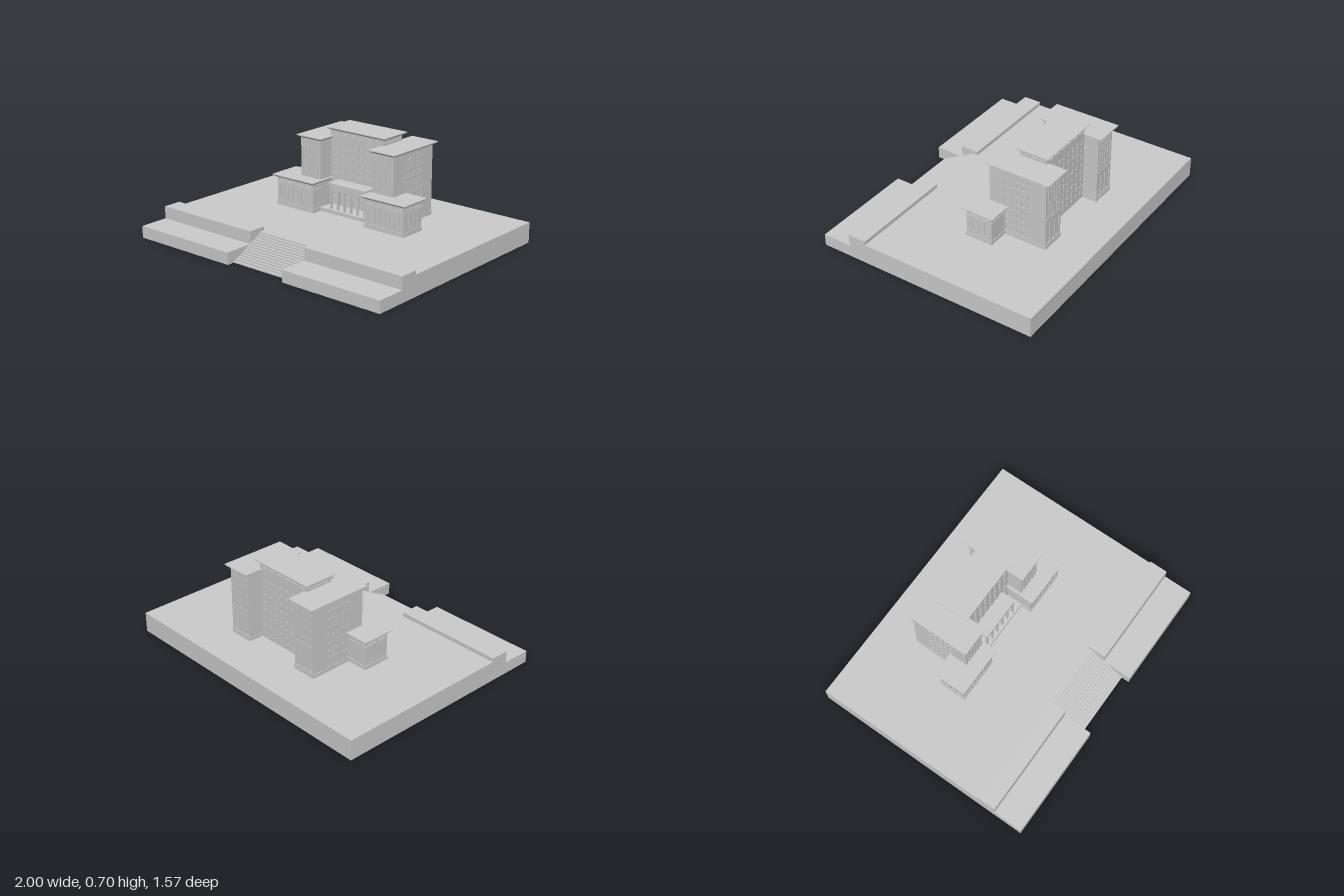
import * as THREE from 'three';

const material = new THREE.MeshStandardMaterial({ color: 0xcccccc });
const MID = 0.02;      // x of the building's axis of symmetry
const GROUND = 0.14;   // terrace level
const FLOOR = 0.165;   // top of the plinth
const RECESS = 0.006;  // depth of window openings

function add(parent, name, geometry) {
  const mesh = new THREE.Mesh(geometry, material);
  mesh.name = name;
  parent.add(mesh);
  return mesh;
}

// Box given by its limits on each axis
function box(parent, name, x0, x1, y0, y1, z0, z1) {
  const g = new THREE.BoxGeometry(x1 - x0, y1 - y0, z1 - z0);
  g.translate((x0 + x1) / 2, (y0 + y1) / 2, (z0 + z1) / 2);
  return add(parent, name, g);
}

// Profile of [z, y] points swept from x0 to x1
function sweep(parent, name, points, x0, x1) {
  const shape = new THREE.Shape(points.map(([z, y]) => new THREE.Vector2(z, y)));
  const g = new THREE.ExtrudeGeometry(shape, { depth: x1 - x0, bevelEnabled: false });
  g.rotateY(-Math.PI / 2).translate(x1, 0, 0);
  return add(parent, name, g);
}

// Flared roof slab: a sloping cornice under a thin flat edge
function roof(parent, name, x0, x1, y0, y1, z0, z1, flare = 0.02) {
  const group = new THREE.Group();
  group.name = name;
  parent.add(group);
  const edge = y1 - 0.006;
  const w = x1 - x0, d = z1 - z0, h = edge - y0;
  const g = new THREE.BoxGeometry(w, h, d);
  const p = g.attributes.position;
  for (let i = 0; i < p.count; i++) {
    if (p.getY(i) < 0) {
      p.setX(i, p.getX(i) - Math.sign(p.getX(i)) * flare);
      p.setZ(i, p.getZ(i) - Math.sign(p.getZ(i)) * flare);
    }
  }
  const flat = g.toNonIndexed();
  flat.computeVertexNormals();
  flat.translate((x0 + x1) / 2, y0 + h / 2, (z0 + z1) / 2);
  add(group, 'cornice', flat);
  box(group, 'roofSlab', x0, x1, edge, y1, z0, z1);
}

// Regular grid of openings [x, y, width, height], centred on x = 0
function openings(cols, pitch, y, w, h, rows = 1, rise = 0) {
  const list = [];
  for (let r = 0; r < rows; r++) {
    for (let c = 0; c < cols; c++) list.push([(c - (cols - 1) / 2) * pitch, y + r * rise, w, h]);
  }
  return list;
}

// Wall panel pierced by openings, facing +z
function wallGeometry(width, y0, y1, holes) {
  const rect = (P, x, y, w, h) => {
    const p = new P();
    p.moveTo(x - w / 2, y - h / 2).lineTo(x + w / 2, y - h / 2);
    p.lineTo(x + w / 2, y + h / 2).lineTo(x - w / 2, y + h / 2);
    p.closePath();
    return p;
  };
  const shape = rect(THREE.Shape, 0, (y0 + y1) / 2, width, y1 - y0);
  shape.holes = holes.map((o) => rect(THREE.Path, ...o));
  return new THREE.ExtrudeGeometry(shape, { depth: RECESS, bevelEnabled: false });
}

// Building volume: a core wrapped in four pierced walls
function block(parent, name, x0, x1, y0, y1, z0, z1, holes) {
  const group = new THREE.Group();
  group.name = name;
  parent.add(group);
  const cx = (x0 + x1) / 2, cz = (z0 + z1) / 2, w = x1 - x0, d = z1 - z0, t = RECESS;
  box(group, 'core', x0 + t, x1 - t, y0, y1, z0 + t, z1 - t);
  [['front', 0], ['left', 1], ['back', 2], ['right', 3]].forEach(([side, turn]) => {
    const across = turn % 2 === 1;
    const wall = add(group, side + 'Wall',
      wallGeometry(across ? d - 2 * t : w, y0, y1, holes[side] || []));
    const a = turn * Math.PI / 2, out = (across ? w : d) / 2 - t;
    wall.rotation.y = a;
    wall.position.set(cx + Math.sin(a) * out, 0, cz + Math.cos(a) * out);
  });
  return group;
}

// Box limits mirrored about the building's axis
const span = (s, near, far) => (s > 0 ? [MID + near, MID + far] : [MID - far, MID - near]);

function buildTerrace(parent) {
  box(parent, 'terrace', -1, 1, 0, GROUND, -0.785, 0.45);
  const bank = [[0.45, 0], [0.785, 0], [0.785, 0.082], [0.58, 0.082], [0.58, 0.167], [0.45, 0.167]];
  sweep(parent, 'leftBank', bank, 0.25, 1);
  sweep(parent, 'rightBank', bank, -1, -0.21);

  // Thin folded flight of steps, open underneath
  const steps = 14, top = [[0.45, GROUND]];
  const run = (0.75 - 0.49) / steps, rise = GROUND / steps;
  for (let i = 0; i < steps; i++) {
    const z = 0.49 + i * run, y = GROUND - i * rise;
    top.push([z, y], [z, y - rise]);
  }
  top[top.length - 1][1] = 0;
  const under = top.slice(0, -1).reverse().map(([z, y]) => [z - 0.004, Math.max(0.0005, y - 0.012)]);
  under[under.length - 1][0] = 0.45;
  sweep(parent, 'steps', [...top, ...under].reverse(), -0.21, 0.25);
}

function buildCentre(parent) {
  const windows = openings(8, 0.053, 0.194, 0.02, 0.034, 8, 0.056);
  block(parent, 'centralBlock', MID - 0.22, MID + 0.22, GROUND, 0.64, -0.4, -0.2,
    { front: windows, back: windows });
  const strip = openings(6, 0.07, 0.662, 0.052, 0.014);
  const ends = openings(3, 0.058, 0.662, 0.044, 0.014);
  block(parent, 'clerestory', MID - 0.22, MID + 0.22, 0.64, 0.68, -0.4, -0.2,
    { front: strip, back: strip, left: ends, right: ends });
  roof(parent, 'centralRoof', MID - 0.244, MID + 0.244, 0.677, 0.697, -0.422, -0.183);
}

function buildTower(parent, s) {
  const outer = s > 0 ? 'left' : 'right';
  const [x0, x1] = span(s, 0.22, 0.39);
  const slots = openings(5, 0.031, 0.482, 0.016, 0.25);
  const group = block(parent, outer + 'Tower', x0, x1, GROUND, 0.625, -0.505, -0.09, {
    front: slots,
    back: [...slots, ...openings(3, 0.05, 0.25, 0.034, 0.15)],
    [outer]: openings(5, 0.04, 0.194, 0.018, 0.034, 8, 0.056),
  });
  // Spandrels dividing the tall slots into storeys
  for (let r = 0; r < 4; r++) {
    const y = 0.39 + r * 0.056;
    box(group, 'spandrel', x0 + 0.01, x1 - 0.01, y, y + 0.02, -0.502, -0.093);
  }
  box(group, 'towerPlinth', x0 - 0.003, x1 + 0.003, GROUND, FLOOR, -0.508, -0.09);
  const [r0, r1] = span(s, 0.2, 0.413);
  roof(group, 'towerRoof', r0, r1, 0.62, 0.64, -0.535, -0.07);
}

function buildWing(parent, s) {
  const outer = s > 0 ? 'left' : 'right';
  const [x0, x1] = span(s, 0.22, 0.535);
  const shift = s * 0.035;
  const front = openings(6, 0.038, 0.235, 0.014, 0.11).map(([x, ...rest]) => [x + shift, ...rest]);
  front.push(...openings(4, 0.076, 0.32, 0.056, 0.016));
  const end = [...openings(3, 0.045, 0.235, 0.016, 0.11), ...openings(2, 0.085, 0.32, 0.06, 0.016)];
  const group = block(parent, outer + 'Wing', x0, x1, GROUND, 0.342, -0.2, -0.012,
    { front, [outer]: end });
  // String course above the tall windows
  box(group, 'stringCourse', x0 - 0.004, x1 + 0.004, 0.298, 0.304, -0.204, -0.008);
  box(group, 'wingPlinth', x0 - 0.004, x1 + 0.004, GROUND, FLOOR, -0.204, -0.008);
  const [r0, r1] = span(s, 0.2, 0.56);
  roof(group, 'wingRoof', r0, r1, 0.335, 0.355, -0.225, 0.012);
}

function buildPorch(parent) {
  const porch = new THREE.Group();
  porch.name = 'porch';
  parent.add(porch);
  box(porch, 'porchFloor', MID - 0.22, MID + 0.22, GROUND, FLOOR, -0.2, -0.085);
  box(porch, 'canopy', MID - 0.15, MID + 0.15, 0.298, 0.338, -0.2, -0.1);
  box(porch, 'canopyCap', MID - 0.157, MID + 0.157, 0.338, 0.346, -0.2, -0.094);
  // Row of slender pillars, with the end pair repeated at the wall
  for (let i = 0; i < 6; i++) {
    const x = MID - 0.142 + i * 0.0568;
    box(porch, 'pillar', x - 0.007, x + 0.007, FLOOR, 0.298, -0.116, -0.102);
    if (i % 5 === 0) box(porch, 'wallPillar', x - 0.007, x + 0.007, FLOOR, 0.298, -0.2, -0.186);
  }
}

export function createModel() {
  const model = new THREE.Group();
  model.name = 'officeBuilding';
  buildTerrace(model);
  buildCentre(model);
  for (const s of [1, -1]) {
    buildTower(model, s);
    buildWing(model, s);
  }
  buildPorch(model);
  return model;
}
